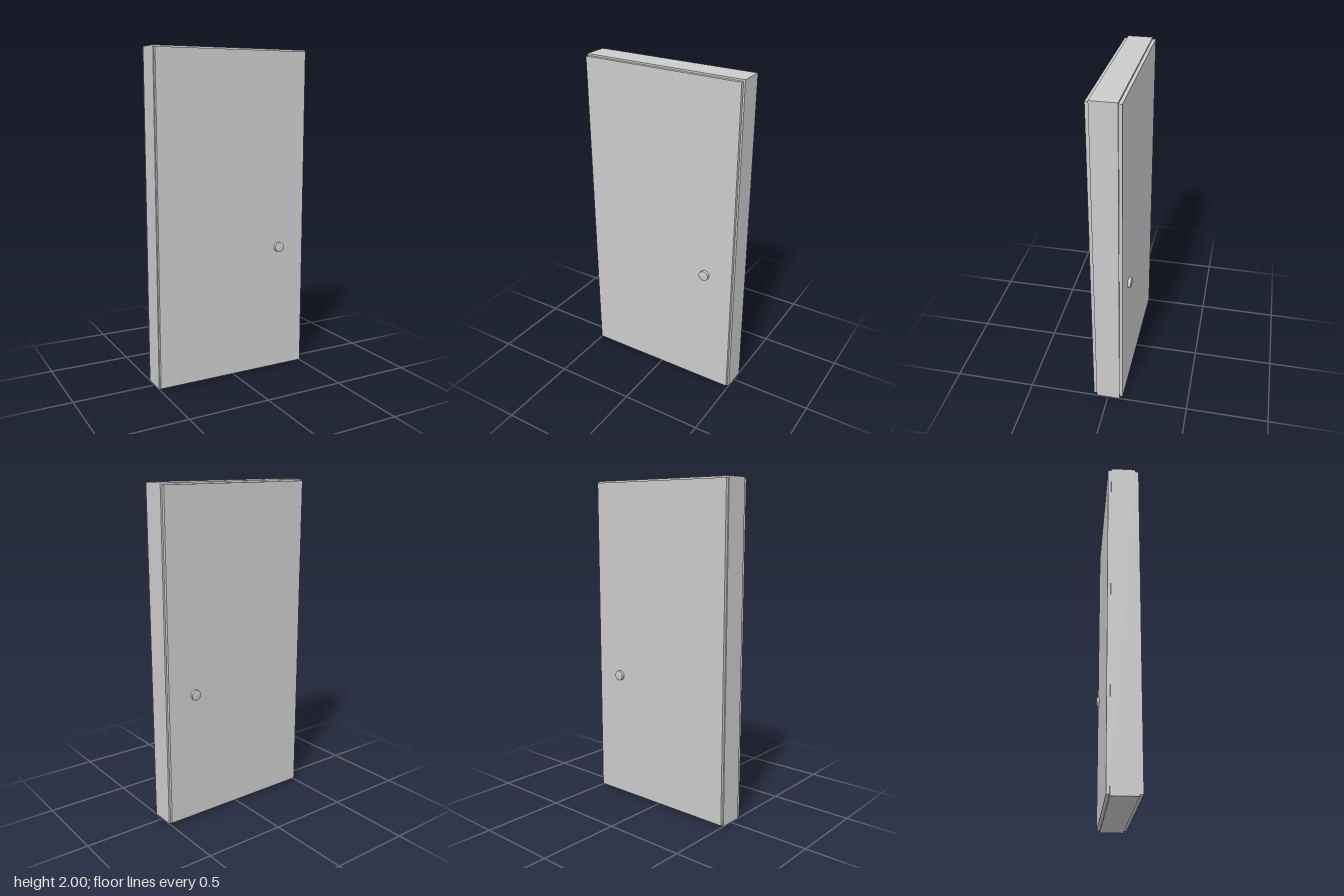
import * as THREE from 'three';

export function createModel() {
  const group = new THREE.Group();
  const material = new THREE.MeshStandardMaterial({ color: 0xcccccc, flatShading: true });

  // Box given by its minimum and maximum corners
  const addBox = (name, [x0, y0, z0], [x1, y1, z1]) => {
    const mesh = new THREE.Mesh(new THREE.BoxGeometry(x1 - x0, y1 - y0, z1 - z0), material);
    mesh.position.set((x0 + x1) / 2, (y0 + y1) / 2, (z0 + z1) / 2);
    mesh.name = name;
    group.add(mesh);
  };

  // Frame around the edge, and the slightly smaller, thicker door leaf
  addBox('doorFrame', [-0.5, 0, -0.075], [0.5, 2, 0.072]);
  addBox('doorLeaf', [-0.495, 0.01, -0.094], [0.49, 1.99, 0.092]);

  // Short knob with a shallow domed face, one on each side
  const profile = [[0, 0], [0.031, 0], [0.031, 0.031], [0.022, 0.033], [0, 0.035]]
    .map(([r, h]) => new THREE.Vector2(r, h));
  const knobGeometry = new THREE.LatheGeometry(profile, 16);
  for (const side of [1, -1]) {
    const knob = new THREE.Mesh(knobGeometry, material);
    knob.name = side > 0 ? 'frontKnob' : 'backKnob';
    knob.rotation.x = side * Math.PI / 2;
    knob.position.set(0.311, 0.79, side * 0.08);
    group.add(knob);
  }

  return group;
}
